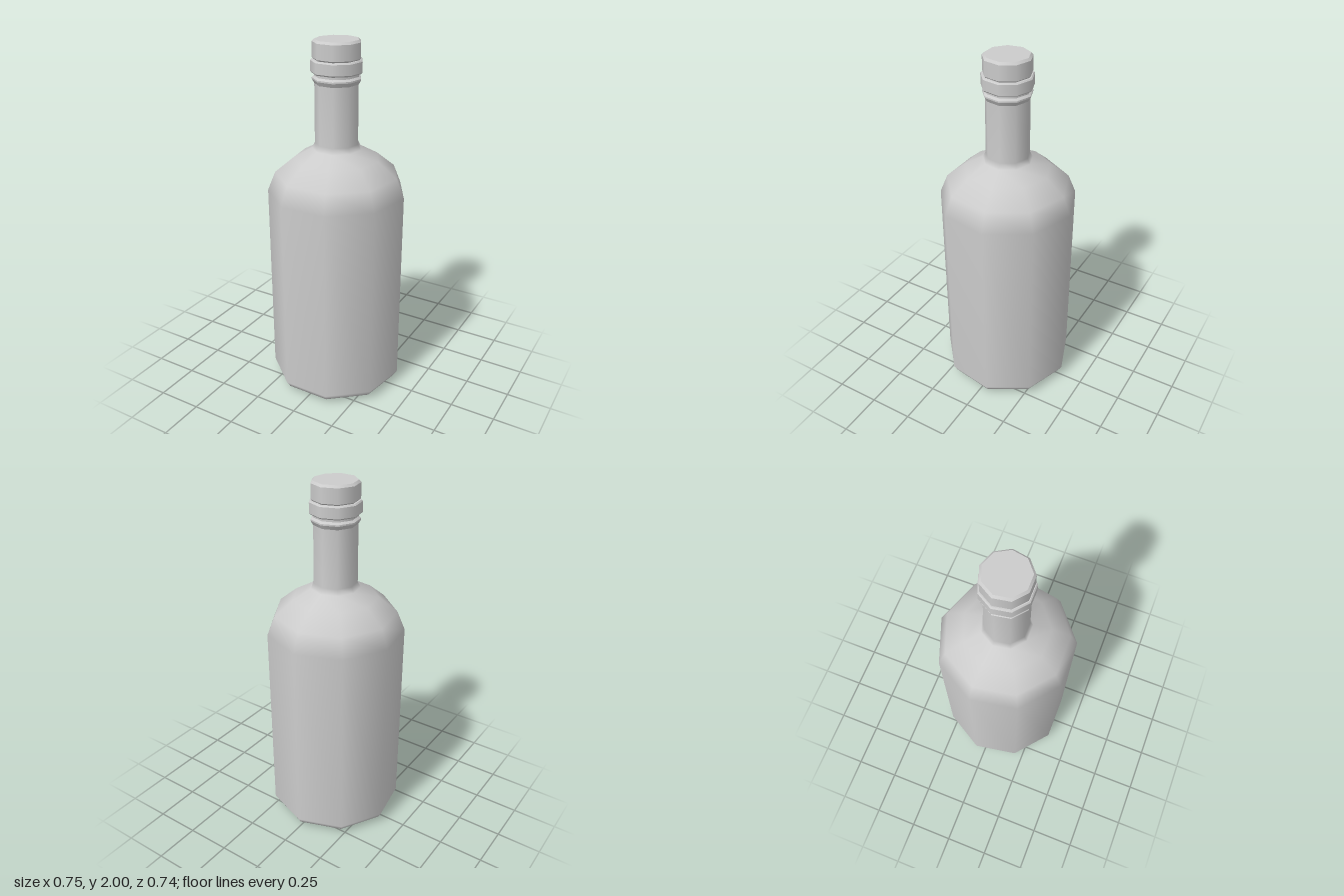
import * as THREE from 'three';

const SIDES = 9;
const material = new THREE.MeshStandardMaterial({ color: 0xcccccc });

// Nine-sided turned part; each profile run [radius, height] is smooth, with hard edges between runs
function turned(name, runs) {
  const part = new THREE.Group();
  part.name = name;
  runs.forEach((run, i) => {
    const points = run.map(([r, y]) => new THREE.Vector2(r, y));
    const mesh = new THREE.Mesh(new THREE.LatheGeometry(points, SIDES, Math.PI), material);
    mesh.name = `${name}Surface${i + 1}`;
    part.add(mesh);
  });
  return part;
}

// Splits a profile into single straight runs so every rim is crisp
const crisp = (profile) => profile.slice(1).map((p, i) => [profile[i], p]);

export function createModel() {
  const bottle = new THREE.Group();
  bottle.name = 'bottle';

  // Base, body, rounded shoulder and neck in one smooth sweep
  bottle.add(turned('body', [[
    [0, 0.005], [0.22, 0.003], [0.3, 0.005], [0.36, 0.03], [0.381, 0.065],
    [0.381, 1.18], [0.338, 1.285], [0.235, 1.37], [0.135, 1.425],
    [0.119, 1.455], [0.118, 1.775],
  ]]));

  // Thin lip and groove at the top of the neck
  bottle.add(turned('neckLip', crisp([
    [0.118, 1.775], [0.131, 1.797], [0.131, 1.805], [0.119, 1.815], [0.119, 1.832],
  ])));

  // Wide collar with chamfered rims
  bottle.add(turned('collar', crisp([
    [0.115, 1.83], [0.132, 1.83], [0.1385, 1.837], [0.1385, 1.893], [0.132, 1.9], [0.115, 1.9],
  ])));

  // Stopper with a bevelled top
  bottle.add(turned('stopper', crisp([
    [0.122, 1.9], [0.129, 1.907], [0.129, 1.988], [0.117, 2], [0, 2],
  ])));

  // An odd-sided ring is off-centre in depth, so shift it to balance front and back
  bottle.children.forEach((part) => { part.position.z = 0.0115; });
  return bottle;
}
